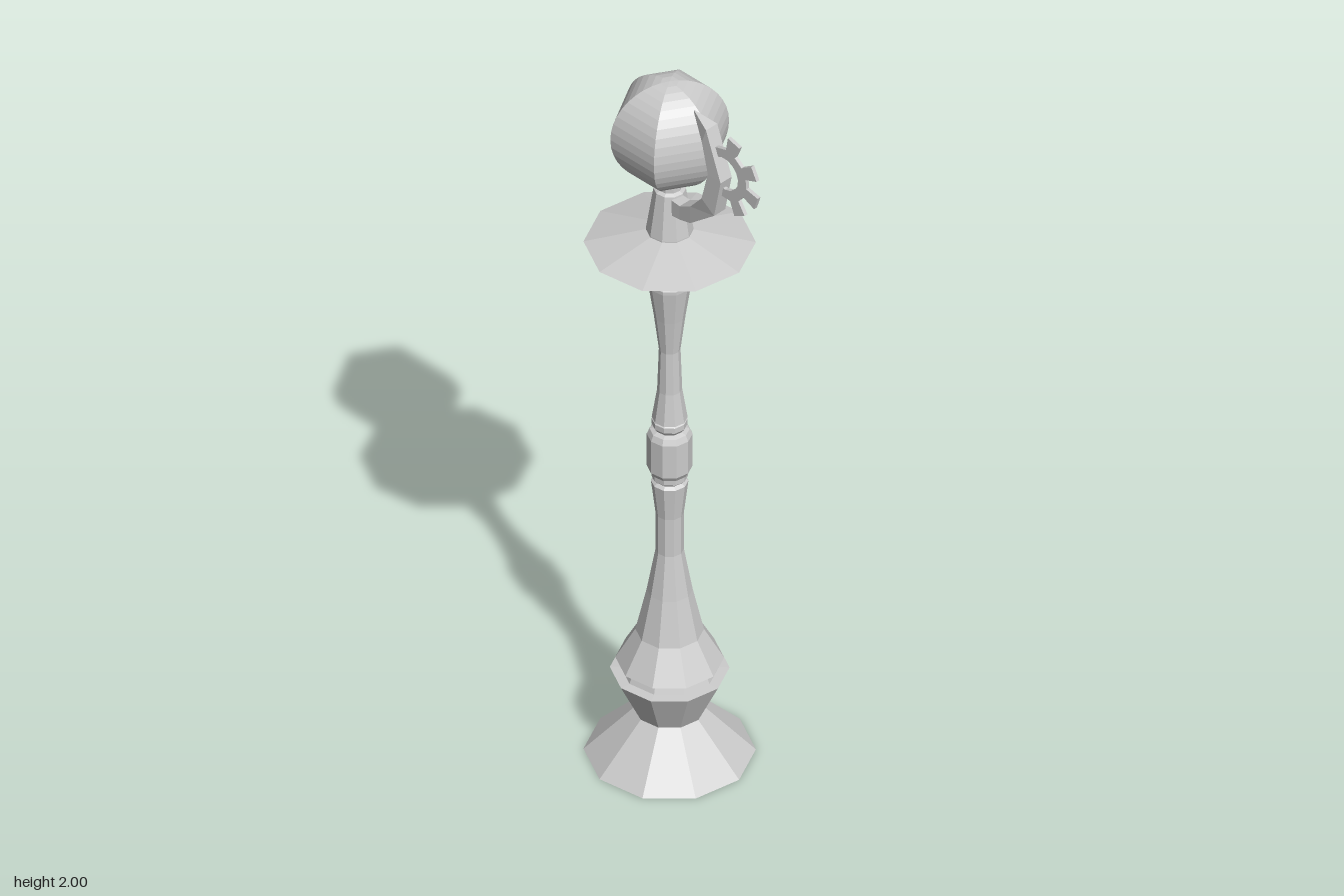
import * as THREE from 'three';

const AXIS_Z = -0.063;
const material = new THREE.MeshStandardMaterial({ color: 0xcccccc, flatShading: true });
const openMaterial = new THREE.MeshStandardMaterial({ color: 0xcccccc, flatShading: true, side: THREE.DoubleSide });

// Ten-sided turned part from [radius, height] pairs, bottom to top
function turned(name, profile) {
  const points = profile.map(([r, y]) => new THREE.Vector2(r, y));
  const mesh = new THREE.Mesh(new THREE.LatheGeometry(points, 10, 0.147), material);
  mesh.name = name;
  mesh.position.z = AXIS_Z;
  return mesh;
}

// Curved bracket: four-cornered sections [x, halfWidth, outerZ, outerY, innerZ, innerY]
function bracket() {
  const sections = [
    [-0.010, 0.017, -0.03, 1.63, -0.03, 1.675],
    [-0.012, 0.018, 0.0, 1.635, 0.0, 1.675],
    [-0.018, 0.018, 0.042, 1.65, 0.042, 1.70],
    [-0.027, 0.019, 0.132, 1.725, 0.09, 1.755],
    [-0.028, 0.019, 0.155, 1.835, 0.112, 1.84],
    [-0.028, 0.019, 0.106, 1.968, 0.092, 1.925],
    [-0.028, 0.001, 0.048, 1.987, 0.047, 1.983],
  ];
  const positions = [];
  const index = [];
  for (const [x, w, oz, oy, iz, iy] of sections) {
    positions.push(x - w, oy, oz, x + w, oy, oz, x + w, iy, iz, x - w, iy, iz);
  }
  for (let s = 0; s < sections.length - 1; s++) {
    for (let k = 0; k < 4; k++) {
      const a = s * 4 + k, b = s * 4 + (k + 1) % 4;
      index.push(a, b, b + 4, a, b + 4, a + 4);
    }
  }
  const e = (sections.length - 1) * 4;
  index.push(0, 2, 1, 0, 3, 2, e, e + 1, e + 2, e, e + 2, e + 3);
  const geometry = new THREE.BufferGeometry();
  geometry.setAttribute('position', new THREE.Float32BufferAttribute(positions, 3));
  geometry.setIndex(index);
  geometry.computeVertexNormals();
  const mesh = new THREE.Mesh(geometry, openMaterial);
  mesh.name = 'bracket';
  return mesh;
}

// Partial toothed ring, drawn in the side plane
function gear() {
  const shape = new THREE.Shape();
  const rad = THREE.MathUtils.degToRad;
  const put = (r, deg, first) =>
    shape[first ? 'moveTo' : 'lineTo'](r * Math.cos(rad(deg)), r * Math.sin(rad(deg)));
  const root = 0.074, tip = 0.113, inner = 0.046;
  put(root, -110, true);
  for (const a of [-63, -18, 27, 74]) {
    put(root, a - 12);
    put(tip, a - 10);
    put(tip, a + 10);
    put(root, a + 12);
  }
  put(root, 125);
  for (let a = 125; a >= -110; a -= 23.5) put(inner, a);
  const geometry = new THREE.ExtrudeGeometry(shape, { depth: 0.01, bevelEnabled: false });
  const mesh = new THREE.Mesh(geometry, material);
  mesh.name = 'gear';
  mesh.rotation.y = -Math.PI / 2;
  mesh.position.set(-0.023, 1.856, 0.154);
  return mesh;
}

export function createModel() {
  const model = new THREE.Group();
  model.name = 'globeStand';

  model.add(turned('base', [
    [0, 0], [0.206, 0], [0.085, 0.125], [0.143, 0.245], [0.118, 0.247],
    [0.112, 0.262], [0.118, 0.275], [0, 0.275],
  ]));
  model.add(turned('lowerShaft', [
    [0, 0.275], [0.13, 0.275], [0.082, 0.36], [0.055, 0.48], [0.034, 0.6],
    [0.034, 0.71], [0.045, 0.805], [0.036, 0.812], [0.044, 0.82], [0.044, 0.835], [0, 0.84],
  ]));
  model.add(turned('middleCollar', [
    [0, 0.835], [0.046, 0.835], [0.055, 0.85], [0.055, 0.945], [0.048, 0.96], [0.036, 0.965],
    [0.043, 0.975], [0.043, 0.99], [0.036, 0.995], [0, 0.995],
  ]));
  model.add(turned('upperShaft', [
    [0, 0.992], [0.043, 0.995], [0.030, 1.08], [0.026, 1.2], [0.038, 1.3], [0.052, 1.395],
    [0.052, 1.405], [0.042, 1.41], [0.045, 1.42], [0.045, 1.435], [0, 1.44],
  ]));
  model.add(turned('topCollar', [
    [0, 1.44], [0.057, 1.44], [0.057, 1.56], [0.039, 1.68], [0.030, 1.685], [0.030, 1.73],
  ]));
  model.add(turned('disc', [
    [0, 1.503], [0.11, 1.503], [0.206, 1.519], [0.057, 1.557], [0, 1.557],
  ]));

  // Six-sided globe with corners facing front and back
  const globe = new THREE.Mesh(new THREE.SphereGeometry(0.147, 6, 20), material);
  globe.name = 'globe';
  globe.rotation.y = Math.PI / 2;
  globe.position.set(0, 1.853, AXIS_Z);
  model.add(globe);

  model.add(bracket(), gear());
  return model;
}
